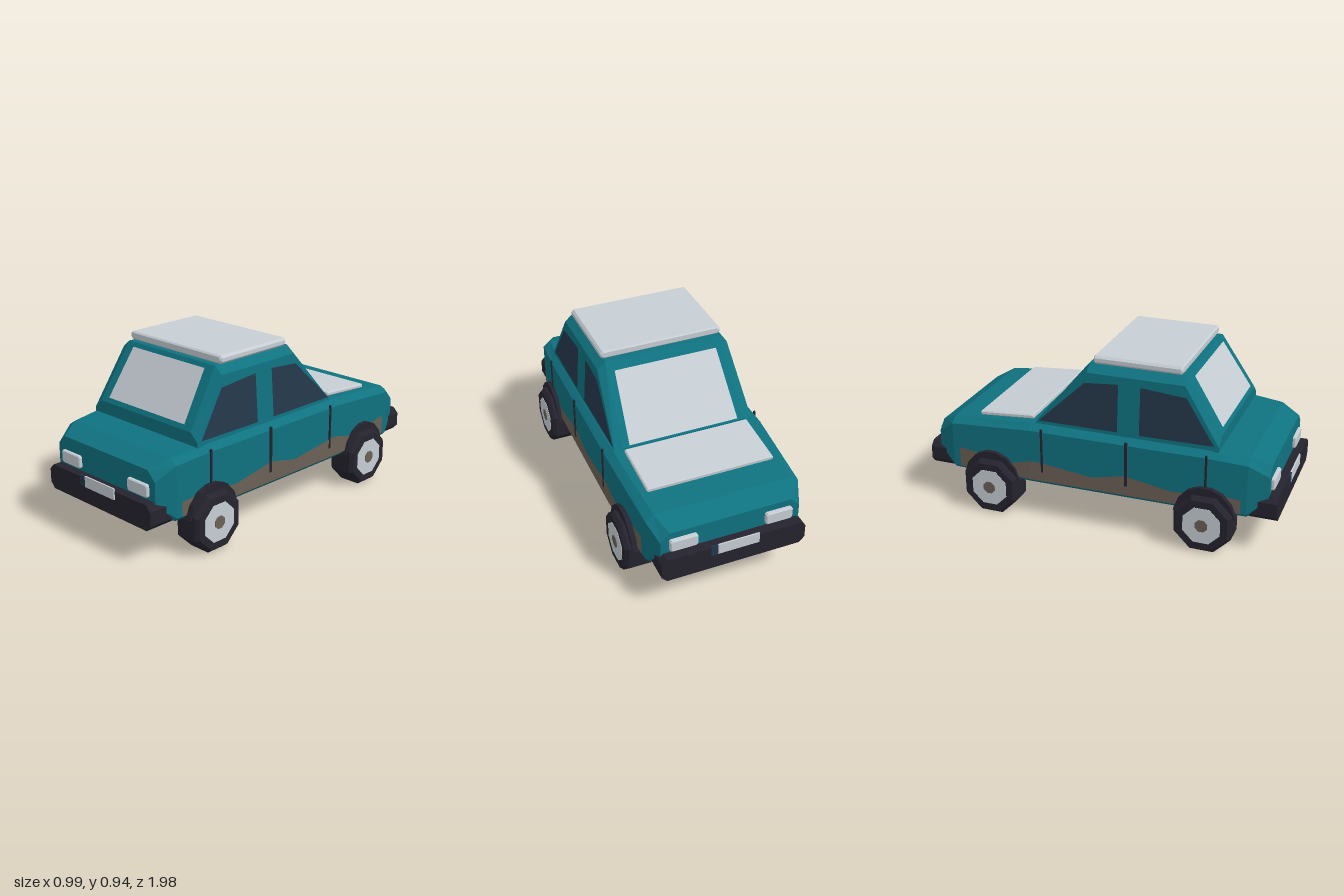
import * as THREE from 'three';

const paint = (name, color) => {
  const m = new THREE.MeshStandardMaterial({ color, flatShading: true });
  m.name = name;
  return m;
};

// Geometry from a list of triangles given as corner arrays
function fromTriangles(tris) {
  const g = new THREE.BufferGeometry();
  g.setAttribute('position', new THREE.Float32BufferAttribute(tris.flat(2), 3));
  g.computeVertexNormals();
  return g;
}

// Closed loft through mirrored cross-sections, ordered from +z to -z.
// Each section is { z, half }, half = right-hand outline from bottom to top.
function loft(sections) {
  const rings = sections.map(({ z, half }) => [
    ...half.map(([x, y]) => [x, y, z]),
    ...half.slice().reverse().map(([x, y]) => [-x, y, z]),
  ]);
  const n = rings[0].length, tris = [];
  for (let i = 0; i < rings.length - 1; i++) {
    for (let j = 0; j < n; j++) {
      const k = (j + 1) % n, p = rings[i], q = rings[i + 1];
      tris.push([p[j], q[j], p[k]], [p[k], q[j], q[k]]);
    }
  }
  const front = rings[0], back = rings[rings.length - 1];
  for (let j = 1; j < n - 1; j++) {
    tris.push([front[0], front[j], front[j + 1]], [back[0], back[j + 1], back[j]]);
  }
  return fromTriangles(tris);
}

const chamferedHalf = (w, bottom, top, cx, cy, cb) =>
  [[w - cb, bottom], [w, bottom + cb], [w, top - cy], [w - cx, top]];

// Box with chamfered long edges and optionally bevelled ends
function chamferBox(w, h, d, c, bevel = 0) {
  const at = (z, s) => ({ z, half: chamferedHalf(w / 2 - s, -h / 2 + s, h / 2 - s, c, c, c) });
  return loft(bevel
    ? [at(d / 2, bevel), at(d / 2 - bevel, 0), at(-d / 2 + bevel, 0), at(-d / 2, bevel)]
    : [at(d / 2, 0), at(-d / 2, 0)]);
}

// Flat convex panels that all face the direction "out"
function panels(polygons, out) {
  const dir = new THREE.Vector3(...out), tris = [];
  for (const p of polygons) {
    for (let i = 1; i < p.length - 1; i++) {
      const [a, b, c] = [p[0], p[i], p[i + 1]].map((v) => new THREE.Vector3(...v));
      const facing = b.sub(a).cross(c.sub(a)).dot(dir) > 0;
      tris.push(facing ? [p[0], p[i], p[i + 1]] : [p[0], p[i + 1], p[i]]);
    }
  }
  return fromTriangles(tris);
}

// Lower body stations: z, half width, bottom, top, top chamfer x and y, bottom chamfer
const STATIONS = [
  [0.935, 0.375, 0.27, 0.48, 0.05, 0.05, 0.03],
  [0.83, 0.415, 0.2, 0.525, 0.045, 0.03, 0.02],
  [0.62, 0.43, 0.2, 0.54, 0.035, 0.03, 0.02],
  [-0.36, 0.44, 0.2, 0.54, 0.04, 0.03, 0.02],
  [-0.83, 0.42, 0.2, 0.5, 0.045, 0.03, 0.02],
  [-0.93, 0.38, 0.27, 0.445, 0.05, 0.05, 0.03],
];

// Half width of the lower body at z
function bodySide(z) {
  const i = Math.max(1, STATIONS.findIndex((s) => s[0] <= z));
  const a = STATIONS[i - 1], b = STATIONS[i];
  return THREE.MathUtils.mapLinear(z, a[0], b[0], a[1], b[1]);
}
const cabinSide = (y) => 0.395 - (y - 0.53) * 0.07;

export function createModel() {
  const car = new THREE.Group();
  car.name = 'car';
  const teal = paint('teal paint', 0x0f7280);
  const silver = paint('pale silver', 0xc6ced4);
  const black = paint('black rubber', 0x25232e);
  const glass = paint('dark blue glass', 0x24384b);
  const mud = paint('brown mud', 0x6b6055);

  const add = (name, geometry, material, x = 0, y = 0, z = 0, parent = car) => {
    const m = new THREE.Mesh(geometry, material);
    m.name = name;
    m.position.set(x, y, z);
    parent.add(m);
    return m;
  };

  // Lower body and cabin
  add('lowerBody', loft(STATIONS.map(([z, ...s]) => ({ z, half: chamferedHalf(...s) }))), teal);
  const roofHalf = [[0.395, 0.53], [0.372, 0.86], [0.325, 0.9]];
  add('cabin', loft([
    { z: 0.67, half: [[0.395, 0.53], [0.393, 0.56], [0.345, 0.605]] },
    { z: 0.48, half: roofHalf },
    { z: -0.05, half: roofHalf },
    { z: -0.345, half: [[0.395, 0.52], [0.395, 0.53], [0.345, 0.545]] },
  ]), teal);

  // Roof and lid panels
  add('roofPanel', chamferBox(0.686, 0.044, 0.48, 0.012, 0.008), silver, 0, 0.923, 0.215);
  const lid = add('lidPanel', chamferBox(0.7, 0.024, 0.317, 0.006, 0.004), silver, 0, 0.538, -0.528);
  lid.rotation.x = -0.075;

  // Front and rear screens
  const frontZ = (y) => 0.676 - (y - 0.605) * 0.644;
  const rearZ = (y) => -0.351 + (y - 0.545) * 0.831;
  const screen = (zAt, y0, w0, y1, w1) =>
    [[[-w0, y0, zAt(y0)], [w0, y0, zAt(y0)], [w1, y1, zAt(y1)], [-w1, y1, zAt(y1)]]];
  add('frontScreen', panels(screen(frontZ, 0.63, 0.29, 0.88, 0.27), [0, 0, 1]), silver);
  add('rearScreen', panels(screen(rearZ, 0.555, 0.31, 0.86, 0.29), [0, 0, -1]), silver);

  // Outlines in z, y for the side details
  const sideWindows = [
    [[0.645, 0.565], [0.49, 0.8], [0.245, 0.82], [0.245, 0.56]],
    [[0.125, 0.82], [-0.06, 0.805], [-0.32, 0.558], [0.125, 0.56]],
  ];
  const mudTop = [
    [0.8, 0.3], [0.69, 0.31], [0.62, 0.305], [0.44, 0.29], [0.18, 0.335], [0, 0.295],
    [-0.33, 0.335], [-0.36, 0.33], [-0.47, 0.3], [-0.79, 0.335],
  ];
  const seams = [[0.617, 0.34, 0.525, 0.011], [0.188, 0.277, 0.528, 0.015], [-0.287, 0.277, 0.528, 0.011]];

  // Wheel arch outline around the wheel centre
  const archSide = [[0.165, 0.045], [0.14, 0.115], [0.09, 0.17], [0.03, 0.195]];
  const archShape = new THREE.Shape(
    [...archSide, ...archSide.slice().reverse().map(([x, y]) => [-x, y])].map(([x, y]) => new THREE.Vector2(x, y)));
  const archGeometry = new THREE.ExtrudeGeometry(archShape, { depth: 0.11, bevelEnabled: false });
  archGeometry.translate(0, 0, -0.055).rotateY(Math.PI / 2);

  // Eight-sided wheel parts, axle along x
  const tyreProfile = [[0, -0.079], [0.148, -0.079], [0.166, -0.06], [0.166, 0.06], [0.148, 0.079], [0, 0.079]];
  const tyreGeometry = new THREE.LatheGeometry(
    tyreProfile.map(([r, h]) => new THREE.Vector2(r, h)), 8, Math.PI / 8).rotateZ(-Math.PI / 2);
  const disc = (r, d) => new THREE.CylinderGeometry(r, r, d, 8, 1, false, Math.PI / 8).rotateZ(-Math.PI / 2);
  const rimGeometry = disc(0.108, 0.162), hubGeometry = disc(0.036, 0.168);

  for (const s of [1, -1]) {
    const side = s > 0 ? 'left' : 'right';
    add(side + 'Windows', panels(sideWindows.map((w) =>
      w.map(([z, y]) => [s * (cabinSide(y) + 0.004), y, z])), [s, 0, 0]), glass);

    // Mud splash following the body side
    const splash = mudTop.slice(1).map(([z, y], i) => {
      const [z0, y0] = mudTop[i], x0 = s * (bodySide(z0) + 0.003), x = s * (bodySide(z) + 0.003);
      return [[x0, 0.222, z0], [x, 0.222, z], [x, y, z], [x0, y0, z0]];
    });
    add(side + 'MudSplash', panels(splash, [s, 0, 0]), mud);

    for (const [z, y0, y1, w] of seams) {
      add(side + 'DoorSeam', new THREE.BoxGeometry(0.009, y1 - y0, w), black, s * (bodySide(z) + 0.002), (y0 + y1) / 2, z);
    }
    for (const z of [0.618, -0.585]) {
      add(side + 'WheelArch', archGeometry, black, s * 0.4, 0.155, z);
      const wheel = new THREE.Group();
      wheel.name = side + 'Wheel';
      wheel.position.set(s * 0.411, 0.154, z);
      car.add(wheel);
      add('tyre', tyreGeometry, black, 0, 0, 0, wheel);
      add('rim', rimGeometry, silver, 0, 0, 0, wheel);
      add('hub', hubGeometry, mud, 0, 0, 0, wheel);
    }
  }

  // Bumper, lamps and plate, built once and turned round for the rear
  for (const end of ['front', 'rear']) {
    const set = new THREE.Group();
    set.name = end + 'End';
    if (end === 'rear') set.rotation.y = Math.PI;
    car.add(set);
    add('bumper', chamferBox(0.79, 0.135, 0.185, 0.03), black, 0, 0.257, 0.893, set);
    for (const s of [1, -1]) {
      add('lamp', chamferBox(0.148, 0.068, 0.05, 0.008, 0.005), silver, s * 0.26, 0.373, 0.928, set);
    }
    add('plate', new THREE.BoxGeometry(0.228, 0.06, 0.008), silver, 0.018, 0.31, 0.988, set);
    add('plateStrip', new THREE.BoxGeometry(0.038, 0.06, 0.008), glass, -0.115, 0.31, 0.988, set);
  }
  return car;
}
